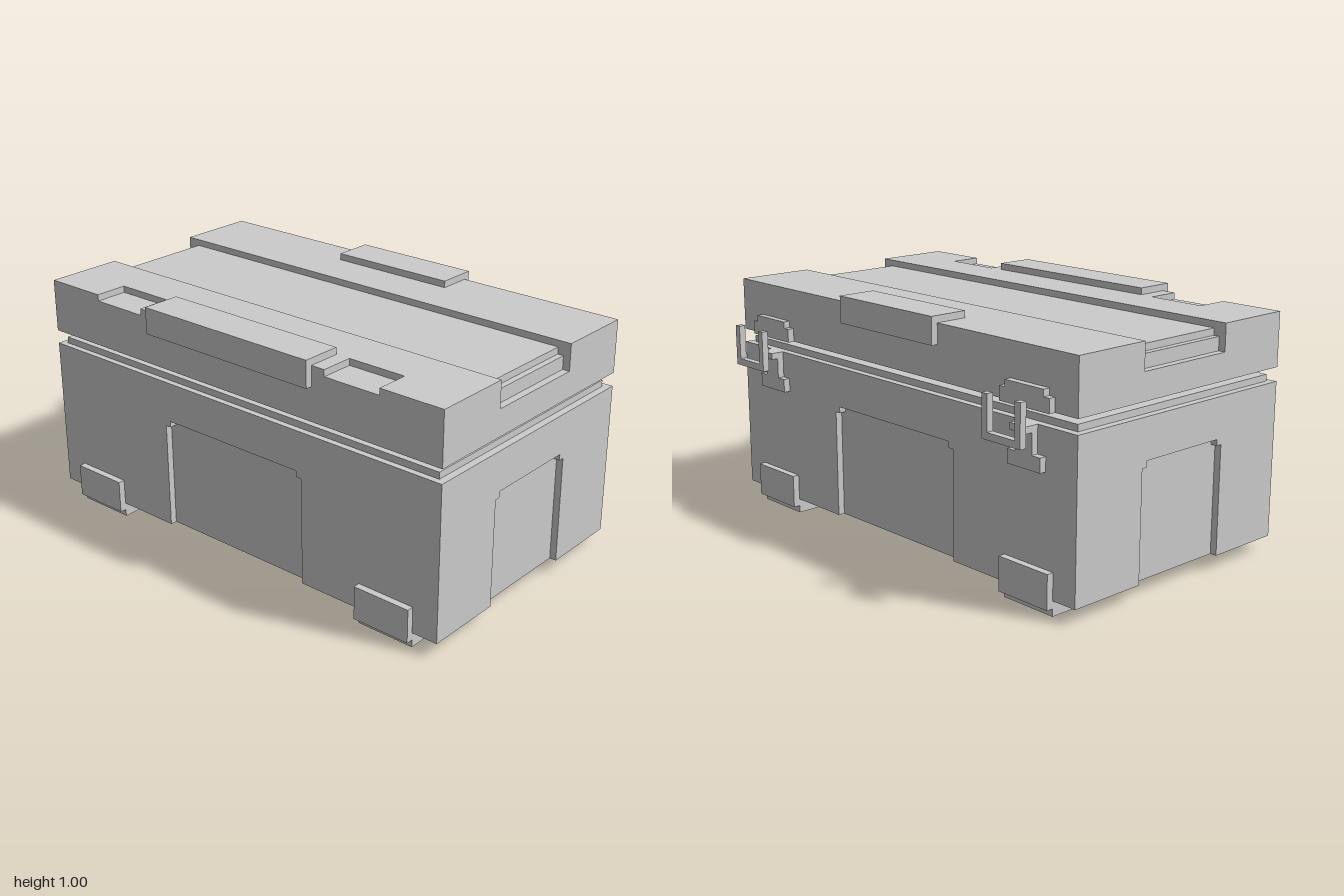
import * as THREE from 'three';

const material = new THREE.MeshStandardMaterial({ color: 0xcccccc, flatShading: true });
const T = 0.028; // common step / plate thickness
const FRONT = 0.61, BACK = -0.5;

function add(parent, name, geometry) {
  const mesh = new THREE.Mesh(geometry, material);
  mesh.name = name;
  parent.add(mesh);
  return mesh;
}

// Box given by its limits on each axis
function box(parent, name, x0, x1, y0, y1, z0, z1) {
  const mesh = add(parent, name, new THREE.BoxGeometry(x1 - x0, y1 - y0, z1 - z0));
  mesh.position.set((x0 + x1) / 2, (y0 + y1) / 2, (z0 + z1) / 2);
  return mesh;
}

function extrude(points, depth) {
  const shape = new THREE.Shape(points.map(([x, y]) => new THREE.Vector2(x, y)));
  return new THREE.ExtrudeGeometry(shape, { depth, bevelEnabled: false });
}

// Wall outline with a step-cornered opening rising from its lower edge
function wallGeometry(a0, a1, o0, o1) {
  const low = 0.06, high = 0.695, top = 0.53, s = 0.025;
  return extrude([
    [a0, low], [o0, low], [o0, top - s], [o0 + s, top - s], [o0 + s, top],
    [o1 - s, top], [o1 - s, top - s], [o1, top - s], [o1, low], [a1, low],
    [a1, high], [a0, high],
  ], T);
}

function createBody() {
  const body = new THREE.Group();
  body.name = 'body';
  box(body, 'bodyCore', -1 + T, 1 - T, 0.06, 0.695, BACK + T, FRONT - T);
  box(body, 'rim', -0.97, 0.97, 0.69, 0.722, -0.47, 0.585);

  add(body, 'frontWall', wallGeometry(-1, 1, -0.36, 0.36)).position.z = FRONT - T;
  add(body, 'backWall', wallGeometry(-1, 1, -0.36, 0.36)).position.z = BACK;
  // Side walls: local x runs towards -z after the quarter turn
  for (const [name, x] of [['leftWall', 1 - T], ['rightWall', -1]]) {
    const wall = add(body, name, wallGeometry(-FRONT + T, -BACK - T, -0.28, 0.165));
    wall.rotation.y = Math.PI / 2;
    wall.position.x = x;
  }
  return body;
}

function createLid() {
  const lid = new THREE.Group();
  lid.name = 'lid';
  const low = 0.752, top = 0.972;
  // Slices along x: [start, end, channel floor height, has front pocket]
  const slices = [
    [-1, -0.97, 0.862], [-0.97, -0.945, 0.917], [-0.945, -0.725, 0.945],
    [-0.725, -0.475, 0.945, true], [-0.475, 0.475, 0.945], [0.475, 0.725, 0.945, true],
    [0.725, 0.945, 0.945], [0.945, 0.97, 0.917], [0.97, 1, 0.862],
  ];
  for (const [x0, x1, floor, pocket] of slices) {
    const frontEdge = pocket
      ? [[-0.472, top], [-0.472, 0.945], [-FRONT, 0.945]]
      : [[-FRONT, top]];
    const slice = add(lid, 'lidSection', extrude([
      [-FRONT, low], [-BACK, low], [-BACK, top], [0.167, top], [0.167, floor],
      [-0.28, floor], [-0.28, top], ...frontEdge,
    ], x1 - x0));
    slice.rotation.y = Math.PI / 2;
    slice.position.x = x0;
  }
  // Angled plates hooked over the front and back edges
  box(lid, 'frontPlateTop', -0.415, 0.415, top, 1, 0.474, FRONT + T);
  box(lid, 'frontPlateFace', -0.415, 0.415, 0.89, top, FRONT, FRONT + T);
  box(lid, 'backPlateTop', -0.277, 0.277, top, 1, BACK - T, -0.362);
  box(lid, 'backPlateFace', -0.277, 0.277, 0.89, top, BACK - T, BACK);
  return lid;
}

function createFoot(x, front) {
  const foot = new THREE.Group();
  foot.name = 'foot';
  const wall = front ? FRONT : BACK, out = front ? T : -T, inner = front ? 0.474 : -0.362;
  box(foot, 'footPad', x - 0.125, x + 0.125, 0, 0.06, Math.min(wall, inner), Math.max(wall, inner));
  box(foot, 'footGuard', x - 0.125, x + 0.125, 0.03, 0.168,
    Math.min(wall, wall + out), Math.max(wall, wall + out));
  return foot;
}

function createLatch(x) {
  const latch = new THREE.Group();
  latch.name = 'latch';
  latch.position.x = x;
  // Stepped plate on the lid
  add(latch, 'lidBracket', extrude([
    [-0.125, 0.752], [0.125, 0.752], [0.125, 0.808], [0.097, 0.808],
    [0.097, 0.835], [-0.097, 0.835], [-0.097, 0.808], [-0.125, 0.808],
  ], T)).position.z = BACK - T;
  // T-shaped plate with its hook on the body
  add(latch, 'bodyBracket', extrude([
    [-0.083, 0.53], [0.083, 0.53], [0.083, 0.586], [0.042, 0.586],
    [0.042, 0.695], [-0.042, 0.695], [-0.042, 0.586], [-0.083, 0.586],
  ], T)).position.z = BACK - T;
  box(latch, 'hook', -0.042, 0.042, 0.669, 0.695, BACK - 2 * T, BACK - T);
  // U-shaped loop standing clear of the back
  add(latch, 'loop', extrude([
    [-0.097, 0.64], [0.097, 0.64], [0.097, 0.807], [0.069, 0.807],
    [0.069, 0.668], [-0.069, 0.668], [-0.069, 0.807], [-0.097, 0.807],
  ], T)).position.z = -0.638;
  return latch;
}

export function createModel() {
  const model = new THREE.Group();
  model.name = 'storageCase';
  model.add(createBody(), createLid());
  for (const side of [-1, 1]) {
    model.add(createFoot(side * 0.765, true), createFoot(side * 0.765, false));
    model.add(createLatch(side * 0.765));
  }
  return model;
}
